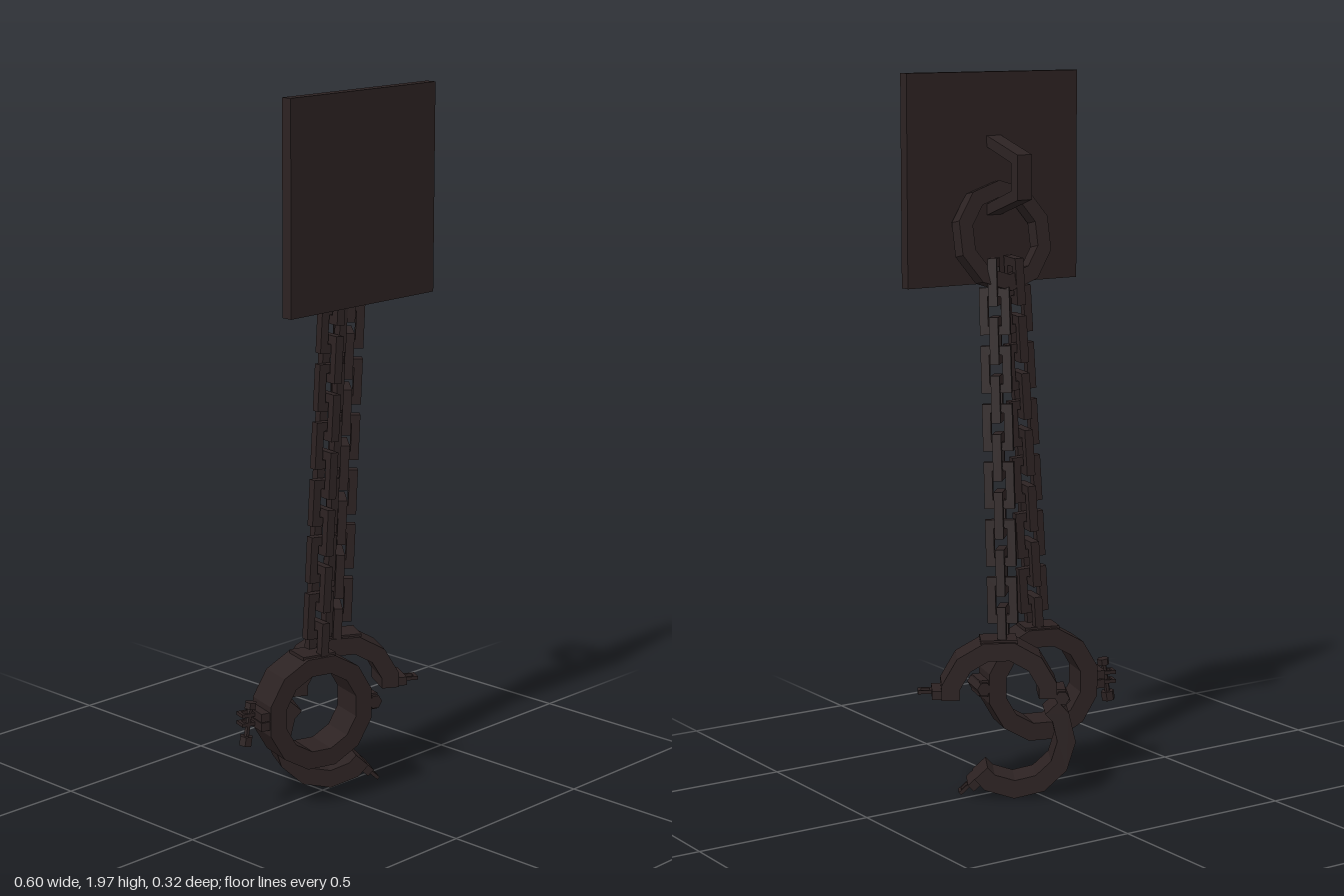
import * as THREE from 'three';

const iron = new THREE.MeshStandardMaterial({ color: 0x2c2222 });
iron.name = 'darkIron';

function mesh(name, geometry, x = 0, y = 0, z = 0) {
  const m = new THREE.Mesh(geometry, iron);
  m.name = name;
  m.position.set(x, y, z);
  return m;
}

const box = (name, w, h, d, x, y, z) => mesh(name, new THREE.BoxGeometry(w, h, d), x, y, z);

// Extrusion centred on its own depth
function slab(shape, depth) {
  const g = new THREE.ExtrudeGeometry(shape, { depth, bevelEnabled: false });
  return g.translate(0, 0, -depth / 2);
}

const toShape = (pts) => new THREE.Shape(pts.map(([x, y]) => new THREE.Vector2(x, y)));

function polygon(radius, sides, offset = 0) {
  return Array.from({ length: sides }, (_, i) => {
    const a = offset + (i / sides) * Math.PI * 2;
    return [radius * Math.cos(a), radius * Math.sin(a)];
  });
}

// Flat frame with a hole, from an outer and an inner outline
function frame(outer, inner, depth) {
  const s = toShape(outer);
  s.holes.push(new THREE.Path(inner.map(([x, y]) => new THREE.Vector2(x, y))));
  return slab(s, depth);
}

const rect = (w, h) => [[-w / 2, -h / 2], [w / 2, -h / 2], [w / 2, h / 2], [-w / 2, h / 2]];

// Half of a twelve-sided band, split through the middle of two facets
function halfBand(outer, inner, depth) {
  const angles = [0, 15, 45, 75, 105, 135, 165, 180];
  const at = (deg, r) => {
    const k = deg % 180 === 0 ? Math.cos(Math.PI / 12) : 1;
    const a = THREE.MathUtils.degToRad(deg);
    return [r * k * Math.cos(a), r * k * Math.sin(a)];
  };
  const pts = angles.map((d) => at(d, outer)).concat(angles.toReversed().map((d) => at(d, inner)));
  return slab(toShape(pts), depth);
}

// One cuff half with its flange and hasp loop; side is 1 for upper, -1 for lower
function cuffHalf(name, side) {
  const half = new THREE.Group();
  half.name = name;
  const band = mesh('cuffBand', halfBand(0.163, 0.112, 0.104));
  if (side < 0) band.rotation.x = Math.PI;
  const loop = mesh('haspLoop', frame(rect(0.042, 0.036), rect(0.024, 0.02), 0.01), 0.2, side * 0.013, 0.01);
  loop.rotation.x = Math.PI / 2;
  half.add(
    band,
    box('flange', 0.05, 0.024, 0.09, 0.158, side * 0.013, 0),
    box('hingeLeaf', 0.045, 0.022, 0.08, -0.16, side * 0.012, 0),
    loop
  );
  return half;
}

// Cuff with hinge at local -x and latch at local +x
function cuff(name, x, y, z, turn, opening) {
  const group = new THREE.Group();
  group.name = name;
  group.position.set(x, y, z);
  group.rotation.y = turn;
  const hingeX = -0.172;

  const upper = cuffHalf('upperHalf', 1);
  upper.add(box('chainMount', 0.1, 0.012, 0.08, 0, 0.157, 0));

  const pivot = new THREE.Group();
  pivot.name = 'lowerHalfPivot';
  pivot.position.x = hingeX;
  pivot.rotation.z = -opening;
  const lower = cuffHalf('lowerHalf', -1);
  lower.position.x = -hingeX;
  pivot.add(lower);

  group.add(upper, pivot, mesh('hingePin', slab(toShape(polygon(0.02, 6)), 0.1), hingeX, 0, 0));
  return group;
}

// Chain of rectangular links, each turned a quarter from the last
function chain(name, from, to, twist) {
  const group = new THREE.Group();
  group.name = name;
  const link = frame(rect(0.082, 0.128), rect(0.036, 0.08), 0.024);
  const dir = from.clone().sub(to).normalize();
  const lean = new THREE.Quaternion().setFromUnitVectors(new THREE.Vector3(0, 1, 0), dir);
  const count = 13;
  for (let i = 0; i < count; i++) {
    const m = mesh('chainLink', link);
    m.position.lerpVectors(from, to, i / (count - 1));
    const spin = new THREE.Quaternion().setFromAxisAngle(
      new THREE.Vector3(0, 1, 0), twist + (i % 2 ? 0 : Math.PI / 2));
    m.quaternion.copy(lean).multiply(spin);
    group.add(m);
  }
  return group;
}

export function createModel() {
  const model = new THREE.Group();
  model.name = 'wallShackles';

  // Wall plate
  model.add(box('wallPlate', 0.548, 0.57, 0.031, 0.024, 1.715, 0.114));

  // Bent bracket on the plate
  const bracketShape = toShape([
    [-0.1, 1.83], [0.05, 1.785], [0.05, 1.665], [-0.1, 1.615],
    [-0.1, 1.645], [0.02, 1.688], [0.02, 1.762], [-0.1, 1.8]
  ]);
  const bracket = mesh('bracket', slab(bracketShape, 0.046), 0.023, 0, 0);
  bracket.rotation.y = Math.PI / 2;
  model.add(bracket);

  // Ring hanging from the bracket
  const ring = mesh('hangingRing',
    frame(polygon(0.15, 10, Math.PI / 10), polygon(0.106, 10, Math.PI / 10), 0.038), 0.023, 1.56, 0.06);
  ring.rotation.x = 0.2;
  model.add(ring);

  // Two chains
  model.add(
    chain('rightChain', new THREE.Vector3(-0.012, 1.44, 0.05), new THREE.Vector3(-0.076, 0.495, 0.052), -0.2),
    chain('leftChain', new THREE.Vector3(0.058, 1.44, 0.045), new THREE.Vector3(0.072, 0.495, -0.018), -0.7)
  );

  // Closed cuff with its bolt, and open cuff
  const closed = cuff('closedCuff', -0.087, 0.31, 0.046, THREE.MathUtils.degToRad(163.5), 0);
  const bolt = new THREE.Group();
  bolt.name = 'lockBolt';
  bolt.position.set(0.2, -0.01, 0);
  bolt.rotation.z = 0.15;
  for (const [r, h, y] of [[0.008, 0.11, 0], [0.017, 0.018, 0.05], [0.019, 0.026, -0.05]]) {
    const part = mesh(r < 0.01 ? 'boltShaft' : 'boltNut', slab(toShape(polygon(r, 6)), h), 0, y, 0);
    part.rotation.x = Math.PI / 2;
    bolt.add(part);
  }
  closed.add(bolt);
  model.add(closed, cuff('openCuff', 0.09, 0.31, -0.02, THREE.MathUtils.degToRad(-30), 0.75));

  return model;
}
